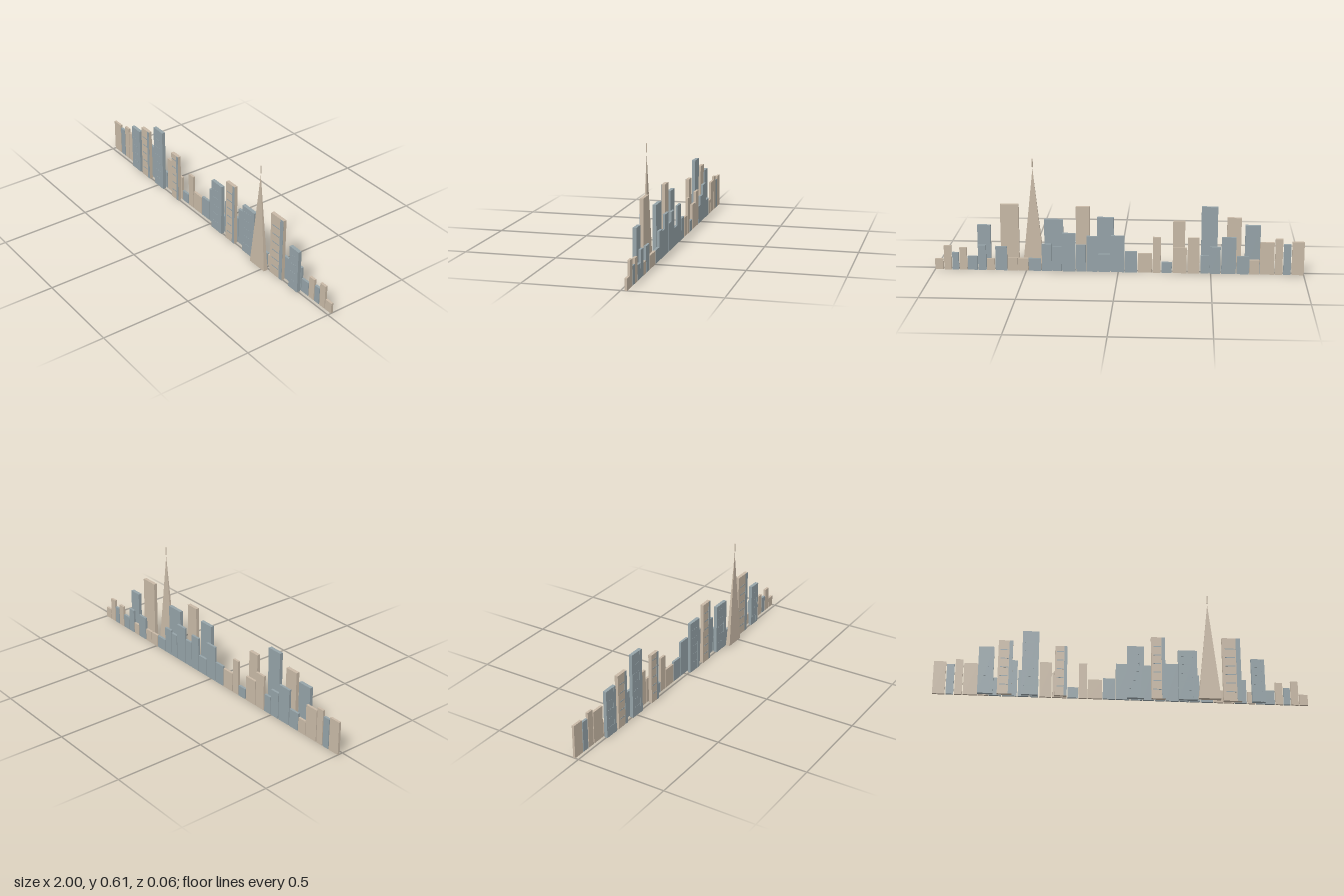
import * as THREE from 'three';

const tan = new THREE.MeshStandardMaterial({ color: 0xc8b9a6 });
tan.name = 'warm stone';
const blue = new THREE.MeshStandardMaterial({ color: 0x95a3a8 });
blue.name = 'slate blue';

// box between two x values, standing on y0
function block(name, x0, x1, y0, h, z, depth, material) {
  const mesh = new THREE.Mesh(new THREE.BoxGeometry(x1 - x0, h, depth), material);
  mesh.position.set((x0 + x1) / 2, y0 + h / 2, z);
  mesh.name = name;
  return mesh;
}

// low buildings: left x, right x, height, colour
const LOW = [
  [-1, -0.935, 0.185, tan], [-0.93, -0.89, 0.17, blue], [-0.885, -0.845, 0.2, tan],
  [-0.84, -0.763, 0.18, tan], [-0.76, -0.708, 0.08, tan], [-0.705, -0.64, 0.1, blue],
  [-0.635, -0.557, 0.205, blue], [-0.552, -0.495, 0.15, blue], [-0.49, -0.445, 0.1, blue],
  [-0.438, -0.375, 0.2, tan], [-0.37, -0.295, 0.142, tan], [-0.29, -0.235, 0.06, blue],
  [-0.23, -0.187, 0.2, tan], [-0.182, -0.107, 0.108, tan], [-0.102, -0.038, 0.118, blue],
  [-0.033, 0.04, 0.205, blue], [0.045, 0.108, 0.1, blue], [0.112, 0.172, 0.2, blue],
  [0.176, 0.228, 0.15, blue], [0.232, 0.303, 0.215, blue], [0.308, 0.357, 0.14, blue],
  [0.361, 0.415, 0.152, blue], [0.42, 0.487, 0.07, blue], [0.491, 0.543, 0.07, tan],
  [0.547, 0.6, 0.07, tan], [0.605, 0.668, 0.135, blue], [0.673, 0.715, 0.065, tan],
  [0.72, 0.763, 0.14, blue], [0.767, 0.82, 0.078, blue], [0.825, 0.865, 0.125, tan],
  [0.87, 0.905, 0.097, blue], [0.91, 0.95, 0.135, tan], [0.955, 1, 0.06, tan],
];

// tall towers: left x, right x, height, colour
const TALL = [
  [-0.765, -0.683, 0.267, blue], [-0.662, -0.585, 0.308, tan], [-0.535, -0.447, 0.367, blue],
  [-0.36, -0.295, 0.285, tan], [0.025, 0.115, 0.3, blue], [0.155, 0.23, 0.358, tan],
  [0.3, 0.402, 0.285, blue], [0.54, 0.64, 0.367, tan], [0.695, 0.767, 0.248, blue],
];

function createTower([x0, x1, h, material]) {
  const tower = new THREE.Group();
  tower.name = 'tower';
  const w = x1 - x0;
  tower.add(block('towerBody', x0, x1, 0, h, -0.0015, 0.019, material));
  // darker strip along the right edge of the front
  tower.add(block('edgeStrip', x1 - w * 0.25, x1, 0, h, 0.0085, 0.001, blue));
  // rows of windows
  for (let y = 0.05; y < h - 0.03; y += 0.05) {
    tower.add(block('windowBand', x0 + w * 0.15, x1 - w * 0.3, y, 0.005, 0.0085, 0.001, blue));
  }
  return tower;
}

export function createModel() {
  const model = new THREE.Group();
  model.name = 'skyline';

  const backRow = new THREE.Group();
  backRow.name = 'backRow';
  for (const [x0, x1, h, m] of LOW) backRow.add(block('lowBuilding', x0, x1, 0, h, -0.0255, 0.013, m));
  model.add(backRow);

  for (const t of TALL) model.add(createTower(t));

  // slim four-sided pyramid
  const geometry = new THREE.ConeGeometry(Math.SQRT1_2, 0.56, 4).toNonIndexed();
  geometry.rotateY(Math.PI / 4);
  geometry.scale(0.12, 1, 0.024);
  geometry.computeVertexNormals();
  const pyramid = new THREE.Mesh(geometry, tan);
  pyramid.name = 'pyramidTower';
  pyramid.position.set(0.464, 0.28, 0.021);
  model.add(pyramid);

  // needle floating just over the tip
  const needle = new THREE.Mesh(new THREE.CylinderGeometry(0.003, 0.003, 0.046, 8), tan);
  needle.name = 'needle';
  needle.position.set(0.464, 0.59, 0.021);
  model.add(needle);

  return model;
}
